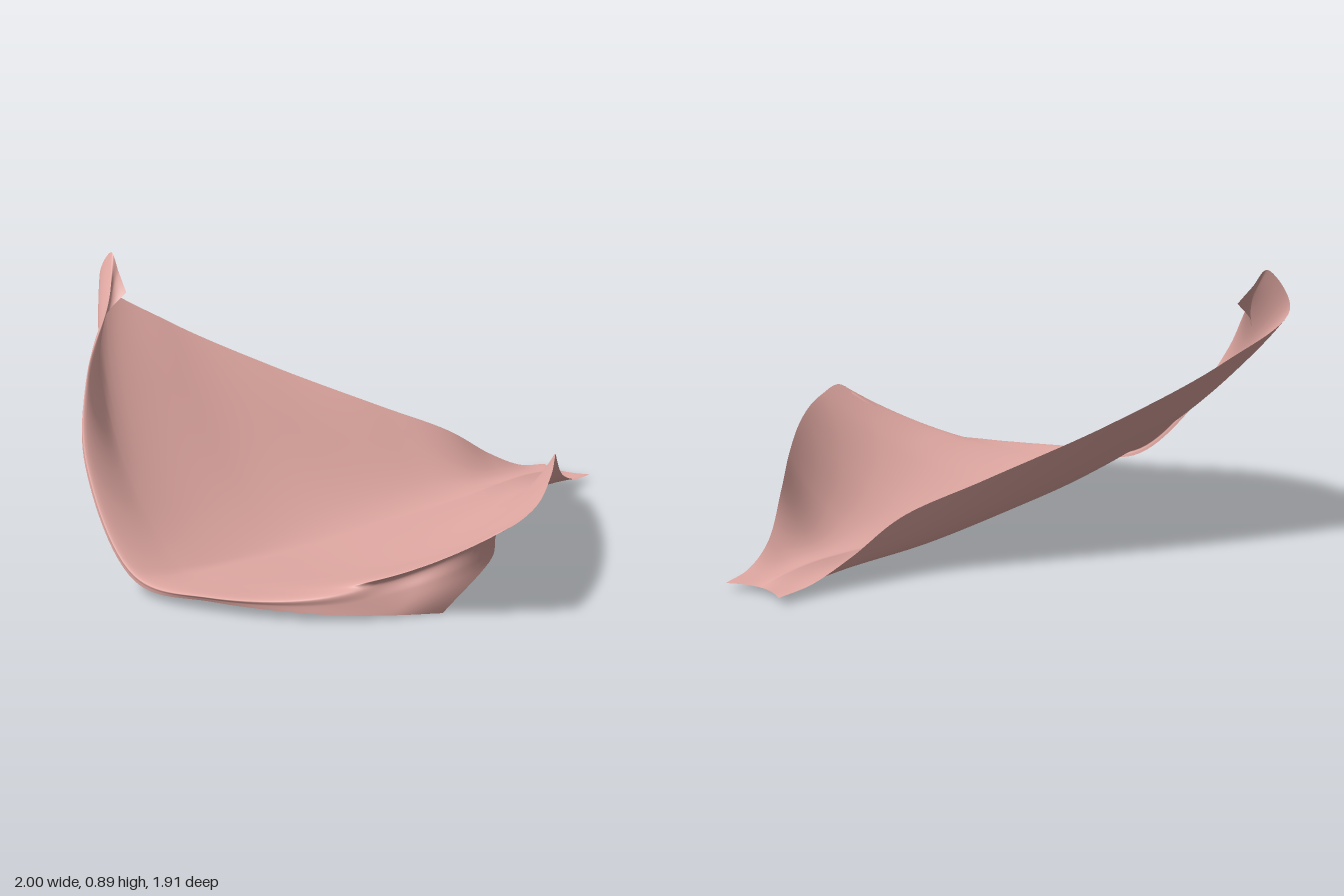
import * as THREE from 'three';

// Bowl cross-sections from the narrow base outward:
// back edge, front edge, keel [x, y], rise power on each side, crease depth
const sections = [
  { back: [1, .025, -.09], front: [1, .025, .13], keel: [.965, .025], power: [2, 2], crease: 0 },
  { back: [.88, .04, -.11], front: [.88, .035, .155], keel: [.88, .04], power: [2, 2], crease: .015 },
  { back: [.75, .1, -.15], front: [.75, .085, .2], keel: [.75, .05], power: [2, 2], crease: .032 },
  { back: [.6, .2, -.215], front: [.6, .2, .29], keel: [.6, .045], power: [2, 2], crease: .04 },
  { back: [.4, .3, -.375], front: [.4, .255, .45], keel: [.37, .03], power: [1.9, 2.3], crease: .025 },
  { back: [.1, .455, -.625], front: [.1, .29, .68], keel: [0, .02], power: [1.45, 2.6], crease: .015 },
  { back: [-.2, .63, -.845], front: [-.2, .295, .875], keel: [-.4, .02], power: [1.25, 2.5], crease: .01 },
  { back: [-.4, .78, -.955], front: [-.4, .293, .955], keel: [-.82, .04], power: [1.1, 3], crease: 0 },
];

// Top of the rolled rim, and the free edge of the flap folded outward from it
const ridge = [
  [-.42, .893, -.86], [-.52, .76, -.74], [-.76, .565, -.54], [-.93, .34, -.32], [-.997, .065, 0],
  [-.94, .05, .28], [-.76, .07, .55], [-.52, .128, .7], [-.41, .265, .91],
];
const flapEdge = [
  [-.45, .77, -.74], [-.535, .7, -.745], [-.745, .545, -.565], [-.928, .325, -.33], [-.995, .045, 0],
  [-.93, .035, .285], [-.75, .022, .565], [-.59, .01, .68], [-.46, .002, .75],
];

const KEEL_Z = .02;
const curveThrough = (points) => new THREE.CatmullRomCurve3(points.map((p) => new THREE.Vector3(...p)));
const ridgeCurve = curveThrough(ridge);
const flapCurve = curveThrough(flapEdge);

// Point on a cross-section; s runs from -1 at the back edge to 1 at the front edge
function sectionPoint({ back, front, keel, power, crease }, s) {
  const edge = s < 0 ? back : front;
  const t = Math.abs(s);
  return new THREE.Vector3(
    keel[0] + (edge[0] - keel[0]) * t * t,
    keel[1] + (edge[1] - keel[1]) * t ** power[s < 0 ? 0 : 1] - crease * Math.sin(Math.PI * t),
    KEEL_Z + (edge[2] - KEEL_Z) * t,
  );
}

// Curve from the base, over the rim, to the edge of the flap
function lengthwiseCurve(v) {
  const s = v * 2 - 1;
  const top = ridgeCurve.getPoint(v);
  const end = flapCurve.getPoint(v);
  const fold = top.clone().lerp(end, .5);
  // The fold opens into a rounder roll at the front corner
  fold.addScaledVector(new THREE.Vector3(.06, .04, .03), Math.max(s, 0) ** 4);
  return new THREE.CatmullRomCurve3([...sections.map((c) => sectionPoint(c, s)), top, fold, end]);
}

// Smooth sheet made of lengthwise curves side by side
function petalGeometry(nu, nv) {
  const position = [];
  const index = [];
  for (let j = 0; j <= nv; j++) {
    const curve = lengthwiseCurve(j / nv);
    for (let i = 0; i <= nu; i++) {
      const p = curve.getPoint(i / nu);
      position.push(p.x, Math.max(p.y, 0), p.z);
      if (i < nu && j < nv) {
        const a = j * (nu + 1) + i;
        const b = a + nu + 1;
        index.push(a, a + 1, b, b, a + 1, b + 1);
      }
    }
  }
  const geometry = new THREE.BufferGeometry();
  geometry.setAttribute('position', new THREE.Float32BufferAttribute(position, 3));
  // Reversed order turns the inner face of the bowl to the front
  geometry.setIndex(index.reverse());
  geometry.computeVertexNormals();
  return geometry;
}

export function createModel() {
  const model = new THREE.Group();
  model.name = 'flowerPetal';
  const petalPink = new THREE.MeshStandardMaterial({ color: 0xe3aaa4, side: THREE.DoubleSide });
  petalPink.name = 'petalPink';
  const petal = new THREE.Mesh(petalGeometry(100, 96), petalPink);
  petal.name = 'petal';
  model.add(petal);
  return model;
}
